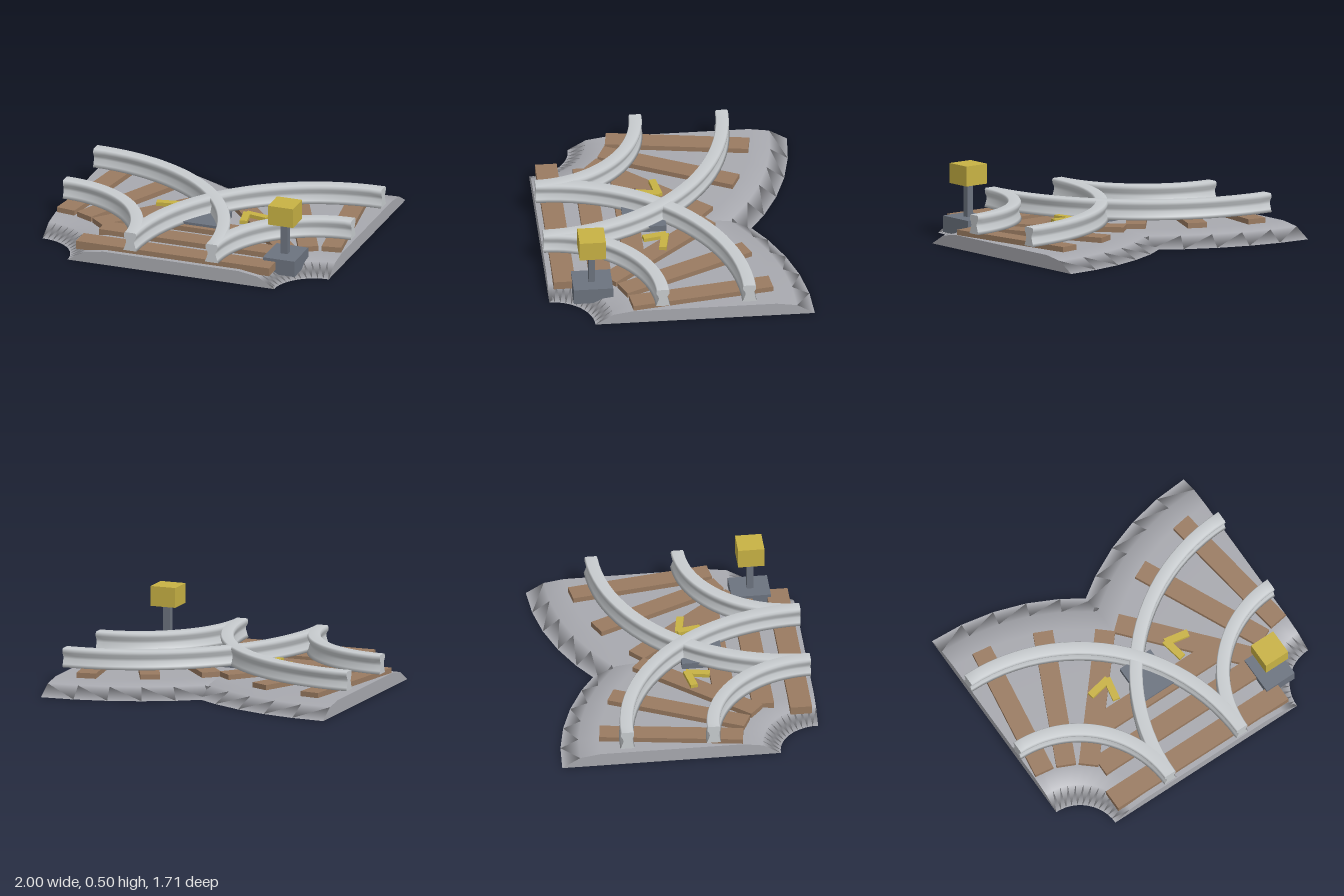
import * as THREE from 'three';

const mat = (name, color) => new THREE.MeshStandardMaterial({ name, color });

const END_Z = 0.855; // z of the shared track end, also of both curve centres

// Sweeps a closed counter-clockwise (radius, height) profile through a quarter turn
// around (side * cx, END_Z). Side faces are smooth, end caps are flat.
function sweepArc(profile, cx, side, segments) {
  const n = profile.length;
  const pos = [], idx = [];
  const put = ([r, y], a) => pos.push(side * (cx - r * Math.cos(a)), y, END_Z - r * Math.sin(a));
  const tri = (a, b, c) => (side > 0 ? idx.push(a, b, c) : idx.push(a, c, b));
  for (let j = 0; j <= segments; j++) {
    for (const p of profile) put(p, (j / segments) * Math.PI / 2);
  }
  for (let j = 0; j < segments; j++) {
    for (let i = 0; i < n; i++) {
      const k = (i + 1) % n, a = j * n, b = a + n;
      tri(a + i, a + k, b + k);
      tri(a + i, b + k, b + i);
    }
  }
  const faces = THREE.ShapeUtils.triangulateShape(profile.map(([r, y]) => new THREE.Vector2(r, y)), []);
  for (const end of [0, 1]) {
    const base = pos.length / 3;
    for (const p of profile) put(p, end * Math.PI / 2);
    for (const [a, b, c] of faces) {
      if (end) tri(base + a, base + b, base + c);
      else tri(base + a, base + c, base + b);
    }
  }
  const g = new THREE.BufferGeometry();
  g.setAttribute('position', new THREE.Float32BufferAttribute(pos, 3));
  g.setIndex(idx);
  g.computeVertexNormals();
  return g;
}

export function createModel() {
  const model = new THREE.Group();
  model.name = 'railwayJunction';
  const gravel = mat('gravel', 0xa8a9af);
  const steel = mat('railSteel', 0xc8cccf);
  const wood = mat('sleeperWood', 0x9a7b61);
  const slate = mat('slateMetal', 0x6c737f);
  const yellow = mat('signalYellow', 0xc8b244);

  const add = (name, geometry, material) => {
    const m = new THREE.Mesh(geometry, material);
    m.name = name;
    model.add(m);
    return m;
  };
  // Box from its low and high corners
  const box = (name, material, [x0, y0, z0], [x1, y1, z1]) => {
    const m = add(name, new THREE.BoxGeometry(x1 - x0, y1 - y0, z1 - z0), material);
    m.position.set((x0 + x1) / 2, (y0 + y1) / 2, (z0 + z1) / 2);
    return m;
  };

  const ballast = [
    [0.277, 0], [1.71, 0], [1.593, 0.07], [1.46, 0.09], [0.525, 0.09], [0.395, 0.07],
  ];
  // Half of the rail section going up: foot, web, head
  const railHalf = [[0.047, 0.125], [0.038, 0.145], [0.027, 0.18], [0.029, 0.198], [0.042, 0.22], [0.043, 0.238], [0.036, 0.25]];
  const railProfile = (r) => [
    ...railHalf.map(([w, y]) => [r + w, y]),
    ...railHalf.slice().reverse().map(([w, y]) => [r - w, y]),
  ];

  for (const side of [1, -1]) {
    const label = side > 0 ? 'left' : 'right';
    const lift = side > 0 ? 0 : 0.001; // keeps overlapping faces apart

    // Curved track bed and its two rails
    add(label + 'Ballast', sweepArc(ballast, 0.993, side, 12), gravel).position.y = lift;
    add(label + 'InnerRail', sweepArc(railProfile(0.717), 1, side, 24), steel).position.y = lift;
    add(label + 'OuterRail', sweepArc(railProfile(1.283), 1, side, 24), steel).position.y = lift;

    // Sleepers fanning out around the curve centre
    for (const deg of [8.5, 25, 41]) {
      const a = THREE.MathUtils.degToRad(deg);
      const s = add(label + 'FanSleeper', new THREE.BoxGeometry(0.13, 0.055, 0.935), wood);
      s.position.set(side * (1 - 0.99 * Math.sin(a)), 0.0975, END_Z - 0.99 * Math.cos(a));
      s.rotation.y = side * a;
    }

    // Direction chevron made of two bars
    const bar = (x0, z0, x1, z1) => {
      const dx = side * (x1 - x0), dz = z1 - z0;
      const m = add(label + 'Chevron', new THREE.BoxGeometry(0.048, 0.025, Math.hypot(dx, dz)), yellow);
      m.position.set(side * (x0 + x1) / 2, 0.1475, (z0 + z1) / 2);
      m.rotation.y = Math.atan2(dx, dz);
    };
    bar(0.385, 0.083, 0.225, 0.053);
    bar(0.23, 0.045, 0.26, 0.2);
  }

  // Straight sleepers across the shared track
  for (const [half, z] of [[0.67, 0.75], [0.6, 0.51], [0.52, 0.275]]) {
    box('straightSleeper', wood, [-half, 0.07, z - 0.071], [half, 0.125, z + 0.071]);
  }

  // Plate under the rail crossing
  box('crossingPlate', slate, [-0.12, 0.1, 0.035], [0.12, 0.142, 0.31]);

  // Switch signal
  box('signalBase', slate, [0.582, 0.037, 0.445], [0.802, 0.145, 0.702]);
  box('signalPost', slate, [0.667, 0.14, 0.555], [0.715, 0.37, 0.597]);
  box('signalHead', yellow, [0.603, 0.363, 0.49], [0.777, 0.495, 0.662]);

  return model;
}
